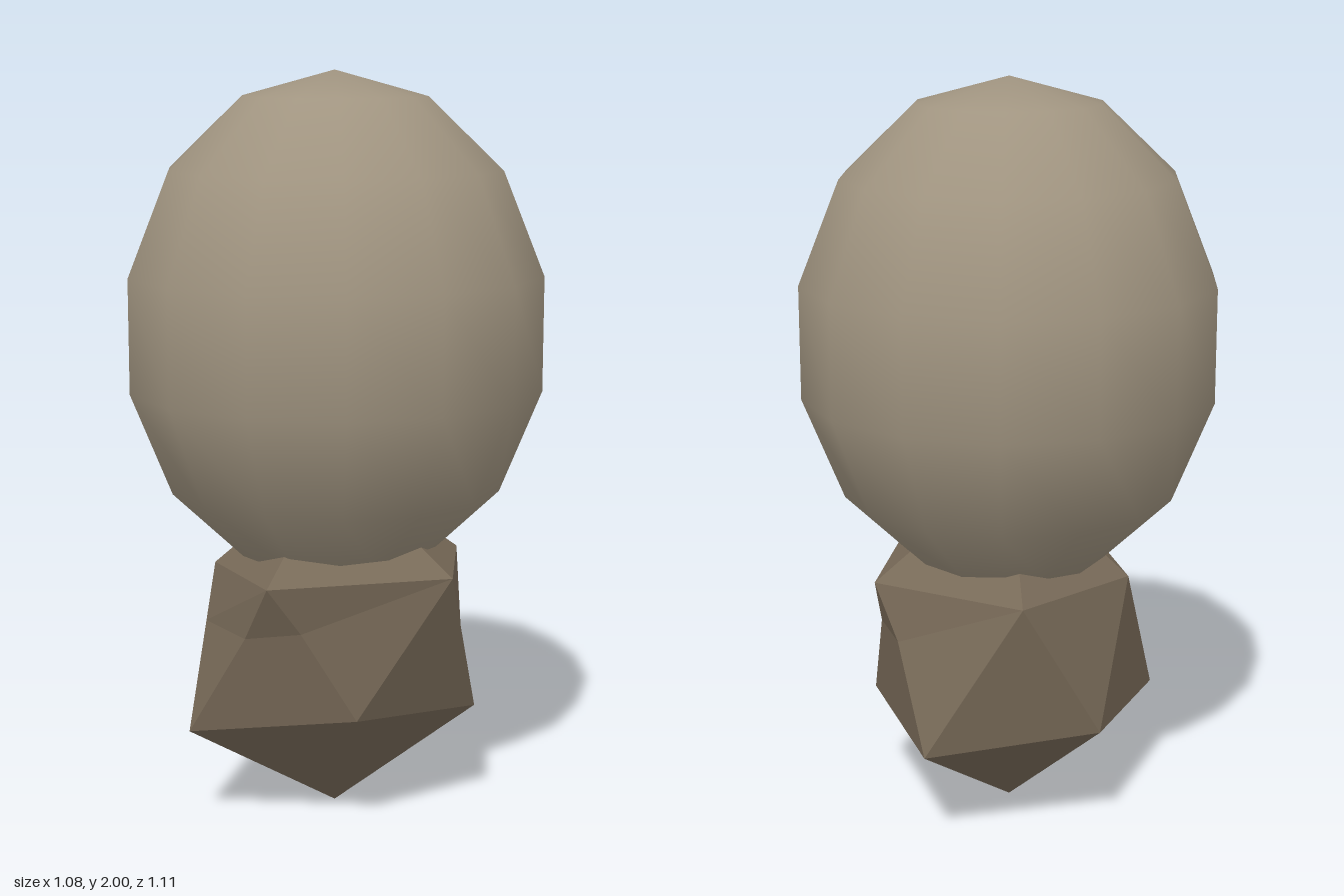
import * as THREE from 'three';

// Faceted stone: two jittered rings of five corners between two tips
function stoneGeometry() {
  const ring = (radii, heights, start) => radii.map((r, i) => {
    const a = THREE.MathUtils.degToRad(start + 72 * i);
    return new THREE.Vector3(r * Math.cos(a), heights[i], r * Math.sin(a));
  });
  const upper = ring([0.39, 0.42, 0.405, 0.33, 0.375], [0.68, 0.71, 0.7, 0.67, 0.68], 0);
  const lower = ring([0.385, 0.315, 0.44, 0.365, 0.435], [0.29, 0.33, 0.27, 0.3, 0.27], 36);
  const top = new THREE.Vector3(0, 0.96, 0);
  const bottom = new THREE.Vector3(0, 0, 0);

  // Slight chips below two of the upper corners
  const chip = [0.05, 0, 0.06, 0, 0];
  const notch = (u, l) => {
    const p = upper[u].clone().lerp(lower[l], 0.35);
    p.x *= 1 - chip[u];
    p.z *= 1 - chip[u];
    return p;
  };

  const points = [];
  for (let i = 0; i < 5; i++) {
    const n = (i + 1) % 5, b = (i + 4) % 5;
    const U = upper[i], V = upper[n], L = lower[i], K = lower[b];
    const left = notch(n, i), mid = notch(i, i), right = notch(i, b);
    points.push(top, V, U);
    points.push(V, left, U, left, mid, U, left, L, mid);
    points.push(U, mid, right, mid, L, K, mid, K, right);
    points.push(lower[n], bottom, L);
  }
  const geometry = new THREE.BufferGeometry().setFromPoints(points);
  geometry.computeVertexNormals();
  return geometry;
}

export function createModel() {
  const paleStone = new THREE.MeshStandardMaterial({ color: 0xa09480 });
  paleStone.name = 'paleStone';
  const darkStone = new THREE.MeshStandardMaterial({ color: 0x786a58, flatShading: true });
  darkStone.name = 'darkStone';

  const model = new THREE.Group();
  model.name = 'stackedStones';

  // Smooth egg-shaped boulder with a coarse outline
  const boulder = new THREE.Mesh(new THREE.SphereGeometry(0.569, 14, 7), paleStone);
  boulder.name = 'upperBoulder';
  boulder.scale.y = 0.68 / 0.569;
  boulder.rotation.y = Math.PI / 2;
  boulder.position.y = 1.32;
  model.add(boulder);

  // Angular base stone
  const base = new THREE.Mesh(stoneGeometry(), darkStone);
  base.name = 'baseStone';
  model.add(base);

  return model;
}
